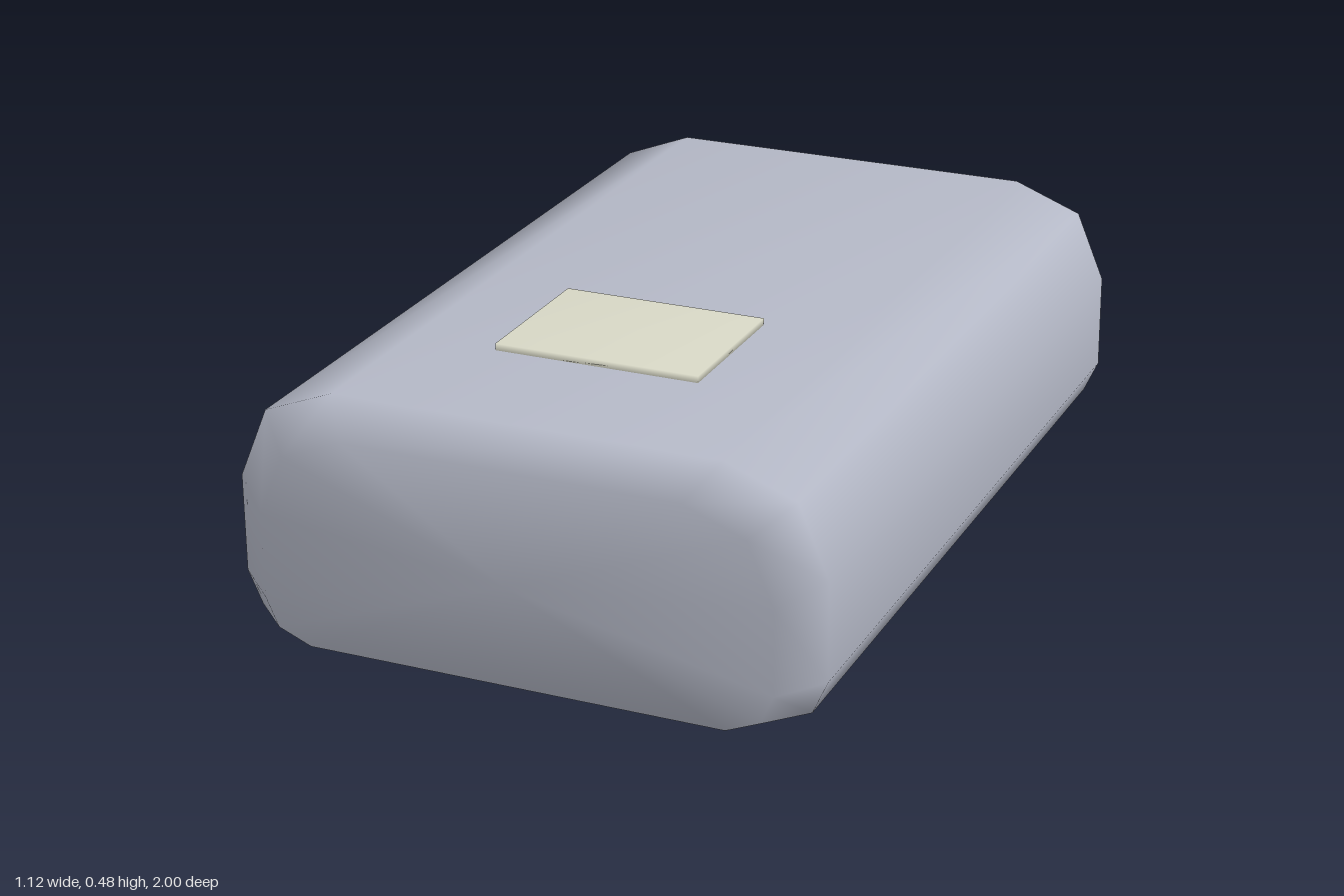
import * as THREE from 'three';
import { mergeVertices } from 'three/addons/utils/BufferGeometryUtils.js';

// Right half of each cross-section, bottom to top: [x, y], x in 0..1 and y in 0..1
const BODY_SECTION = [[0.82, 0], [0.95, 0.065], [1, 0.2], [1, 0.6], [0.9, 0.888], [0.66, 1]];
const NECK_SECTION = [[0.8, 0], [1, 0.25], [1, 0.75], [0.8, 1]];

// Lofts a mirrored section through rings [z, half width, low y, high y], front to back
function loft(section, rings, bulge = 0, bulgeY = 0.23) {
  const loop = [...section, ...section.map(([x, y]) => [-x, y]).reverse()];
  const n = loop.length, pos = [], index = [];
  for (const [z, w, lo, hi] of rings) {
    for (const [x, y] of loop) pos.push(x * w, lo + y * (hi - lo), z);
  }
  for (let i = 0; i < rings.length - 1; i++) {
    for (let j = 0; j < n; j++) {
      const a = i * n + j, b = i * n + (j + 1) % n;
      index.push(a, a + n, b, b, a + n, b + n);
    }
  }
  // end caps
  const front = rings.length * n, back = front + 1, last = (rings.length - 1) * n;
  const endRing = rings[rings.length - 1];
  pos.push(0, bulgeY, rings[0][0] + bulge, 0, (endRing[2] + endRing[3]) / 2, endRing[0]);
  for (let j = 0; j < n; j++) {
    const k = (j + 1) % n;
    index.push(front, j, k, back, last + k, last + j);
  }
  const g = new THREE.BufferGeometry();
  g.setAttribute('position', new THREE.Float32BufferAttribute(pos, 3));
  g.setIndex(index);
  g.computeVertexNormals();
  return g;
}

// Box whose corners share soft normals
function softBox(w, h, d) {
  let g = new THREE.BoxGeometry(w, h, d);
  g.deleteAttribute('normal');
  g.deleteAttribute('uv');
  g = mergeVertices(g);
  g.computeVertexNormals();
  return g;
}

export function createModel() {
  const model = new THREE.Group();
  const shell = new THREE.MeshStandardMaterial({ color: 0xb4b8c6 });
  shell.name = 'blue grey shell';
  const cream = new THREE.MeshStandardMaterial({ color: 0xd8d8c6 });
  cream.name = 'cream trim';

  const add = (name, geometry, material) => {
    const mesh = new THREE.Mesh(geometry, material);
    mesh.name = name;
    model.add(mesh);
    return mesh;
  };

  // rounded main block, tapering to a small neck at the back
  add('body', loft(BODY_SECTION, [
    [0.975, 0.485, 0, 0.405],
    [0.912, 0.558, 0, 0.465],
    [-0.622, 0.558, 0, 0.465],
    [-0.685, 0.485, 0.035, 0.43],
    [-0.732, 0.22, 0.13, 0.36],
    [-0.762, 0.065, 0.195, 0.265],
    [-0.78, 0.055, 0.2, 0.26],
  ], 0.02, 0.2), shell);

  // collar around the neck
  const ring = (z, w, h) => [z, w, 0.23 - h, 0.23 + h];
  add('collar', loft(NECK_SECTION, [
    ring(-0.77, 0.07, 0.032), ring(-0.776, 0.076, 0.036),
    ring(-0.799, 0.076, 0.036), ring(-0.806, 0.07, 0.032),
  ]), cream);

  // waisted plug with a flared end
  add('plug', loft(NECK_SECTION, [
    ring(-0.8, 0.06, 0.028), ring(-0.83, 0.093, 0.046), ring(-0.885, 0.093, 0.046),
    ring(-0.922, 0.045, 0.023), ring(-0.962, 0.088, 0.048), ring(-1, 0.121, 0.059),
  ]), shell);

  // raised panel on top
  add('topPanel', softBox(0.394, 0.018, 0.3), cream).position.set(0, 0.469, 0.472);

  return model;
}
